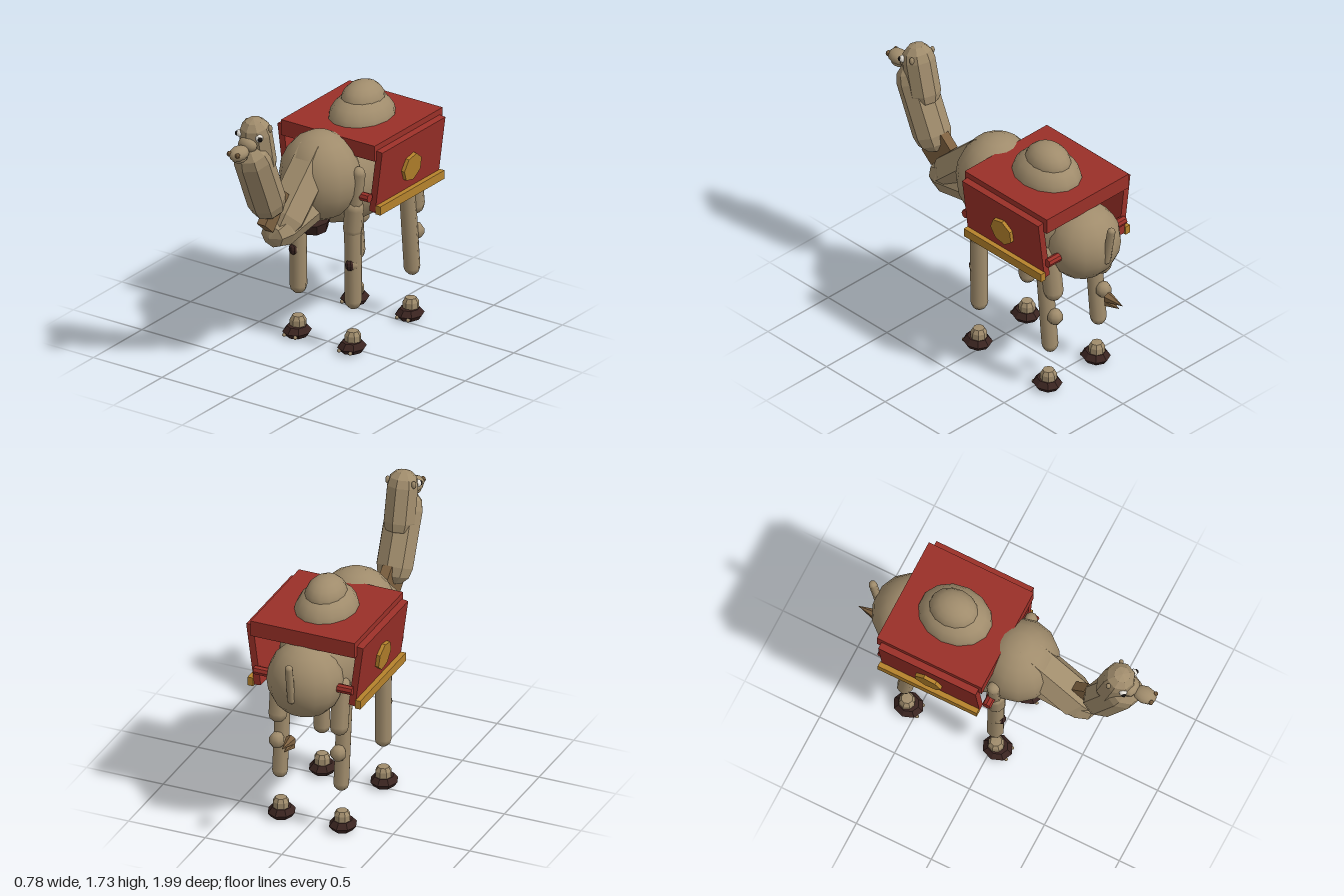
import * as THREE from 'three';

const mat = (color, flatShading = false) => new THREE.MeshStandardMaterial({ color, flatShading, roughness: 0.9 });
const FUR = mat(0xa08c6c), FUR_FLAT = mat(0xa08c6c, true), MANE = mat(0x7d6140, true);
const RED = mat(0x9a3028, true), GOLD = mat(0xb5822c, true), DARK = mat(0x3a2420, true);
const WHITE = mat(0xe8e4dc), BLACK = mat(0x15110f);
const UP = new THREE.Vector3(0, 1, 0);

export function createModel() {
  const root = new THREE.Group();

  const add = (name, geo, material, [x, y, z], rot = [0, 0, 0]) => {
    const m = new THREE.Mesh(geo, material);
    m.name = name;
    m.position.set(x, y, z);
    m.rotation.set(...rot);
    root.add(m);
    return m;
  };
  const ball = (name, material, pos, radii, w = 14, h = 10) =>
    add(name, new THREE.SphereGeometry(1, w, h).scale(...radii), material, pos);
  const box = (name, material, pos, size, rot) => add(name, new THREE.BoxGeometry(...size), material, pos, rot);
  // Capsule whose cap centres sit at a and b
  const limb = (name, material, a, b, r, sides = 8, caps = 3) => {
    const from = new THREE.Vector3(...a), to = new THREE.Vector3(...b);
    const dir = to.clone().sub(from);
    const mid = from.clone().add(to).multiplyScalar(0.5);
    const m = add(name, new THREE.CapsuleGeometry(r, dir.length(), caps, sides), material, mid.toArray());
    m.quaternion.setFromUnitVectors(UP, dir.normalize());
    return m;
  };

  // Torso and hump
  ball('belly', FUR, [0, 1.05, -0.29], [0.27, 0.32, 0.53]);
  ball('chest', FUR, [0, 1.12, 0.08], [0.25, 0.28, 0.24]);
  ball('rump', FUR, [0, 1.03, -0.66], [0.235, 0.24, 0.22]);
  ball('hump', FUR, [0, 1.34, -0.35], [0.19, 0.17, 0.235]);
  ball('humpTop', FUR, [0, 1.45, -0.36], [0.125, 0.12, 0.155]);
  add('chestPad', new THREE.CylinderGeometry(0.1, 0.08, 0.07, 8), DARK, [0, 0.82, 0.14], [0.15, 0, 0]);

  // Neck
  limb('neckBase', FUR_FLAT, [0, 1.27, 0.12], [0, 0.96, 0.45], 0.13, 6, 2);
  limb('throat', FUR_FLAT, [0, 0.97, 0.15], [0, 0.91, 0.5], 0.11, 8, 2);
  limb('neck', FUR_FLAT, [0, 1.15, 0.63], [0, 1.47, 0.77], 0.118, 8, 3);
  box('neckMane', MANE, [0, 1.07, 0.565], [0.06, 0.25, 0.11], [-0.72, 0, 0]);
  box('napeTuft', MANE, [0, 1.35, 0.615], [0.02, 0.04, 0.02]);

  // Head
  limb('head', FUR_FLAT, [0, 1.42, 0.695], [0, 1.635, 0.745], 0.1, 8, 3);
  ball('cheeks', FUR, [0, 1.585, 0.825], [0.065, 0.048, 0.045], 10, 8);
  ball('snout', FUR, [0, 1.56, 0.915], [0.055, 0.045, 0.075], 10, 8);
  ball('lowerLip', FUR, [0, 1.53, 0.91], [0.045, 0.03, 0.055], 10, 8);

  // Saddle top
  box('saddleTop', RED, [0, 1.31, -0.35], [0.68, 0.1, 0.7]);

  for (const s of [1, -1]) {
    // Face details
    ball('ear', FUR, [s * 0.085, 1.67, 0.715], [0.015, 0.025, 0.015], 8, 6);
    ball('eye', WHITE, [s * 0.07, 1.635, 0.805], [0.024, 0.024, 0.024], 10, 8);
    ball('pupil', BLACK, [s * 0.082, 1.635, 0.815], [0.016, 0.016, 0.016], 8, 6);
    ball('nostril', MANE, [s * 0.03, 1.57, 0.972], [0.018, 0.018, 0.014], 8, 6);

    // Saddle side panel with trim, medallion and strap ends
    box('sidePanel', RED, [s * 0.334, 1.12, -0.345], [0.043, 0.405, 0.65], [0, 0, -s * 0.13]);
    box('panelTrim', GOLD, [s * 0.35, 0.937, -0.35], [0.035, 0.055, 0.66]);
    add('medallion', new THREE.CylinderGeometry(0.09, 0.09, 0.03, 7), GOLD,
      [s * 0.362, 1.11, -0.345], [0, 0, -s * (Math.PI / 2 + 0.13)]);
    for (const z of [0.02, -0.68])
      add('strapEnd', new THREE.CylinderGeometry(0.028, 0.028, 0.11, 8), RED, [s * 0.265, 1.025, z], [0, 0, Math.PI / 2]);

    // Front leg
    limb('frontShoulder', FUR, [s * 0.245, 1.17, 0.03], [s * 0.215, 0.95, 0.025], 0.042);
    limb('frontThigh', FUR, [s * 0.21, 0.93, 0.025], [s * 0.2, 0.8, 0.025], 0.06);
    limb('frontShin', FUR, [s * 0.2, 0.82, 0.025], [s * 0.2, 0.33, 0.02], 0.053);
    ball('frontKnee', FUR, [s * 0.205, 0.575, 0.045], [0.044, 0.04, 0.035], 8, 6);
    ball('kneePad', DARK, [s * 0.205, 0.575, 0.065], [0.03, 0.036, 0.026], 8, 6);

    // Rear leg
    limb('rearThigh', FUR, [s * 0.2, 0.98, -0.58], [s * 0.2, 0.73, -0.613], 0.06);
    limb('rearShin', FUR, [s * 0.2, 0.86, -0.533], [s * 0.2, 0.33, -0.583], 0.05);
    ball('rearKnee', FUR, [s * 0.2, 0.55, -0.628], [0.05, 0.052, 0.05], 7, 5);

    // Feet
    for (const z of [0.03, -0.565]) {
      add('ankle', new THREE.LatheGeometry([[0, 0.05], [0.05, 0.055], [0.05, 0.11], [0.035, 0.135], [0, 0.138]]
        .map(p => new THREE.Vector2(...p)), 8), FUR_FLAT, [s * 0.2, 0, z - 0.005]);
      add('hoof', new THREE.LatheGeometry([[0, 0.004], [0.066, 0.008], [0.088, 0.038], [0.06, 0.072], [0, 0.075]]
        .map(p => new THREE.Vector2(...p)), 8).scale(0.97, 1, 1.08), DARK, [s * 0.2, 0, z + 0.005]);
      for (const t of [-0.04, 0.04]) ball('toe', FUR, [s * 0.2 + t, 0.025, z + 0.08], [0.012, 0.012, 0.014], 8, 6);
    }
  }

  // Tail and its tuft
  limb('tail', FUR, [0, 0.98, -0.86], [0, 1.21, -0.9], 0.025);
  add('tailTuft', new THREE.ConeGeometry(0.035, 0.13, 6), MANE, [0, 0.715, -0.935], [-Math.PI / 2, 0, 0]);
  add('tailTuftLower', new THREE.ConeGeometry(0.03, 0.1, 6), MANE, [0, 0.68, -0.92], [-Math.PI / 2, 0, 0]);

  return root;
}
